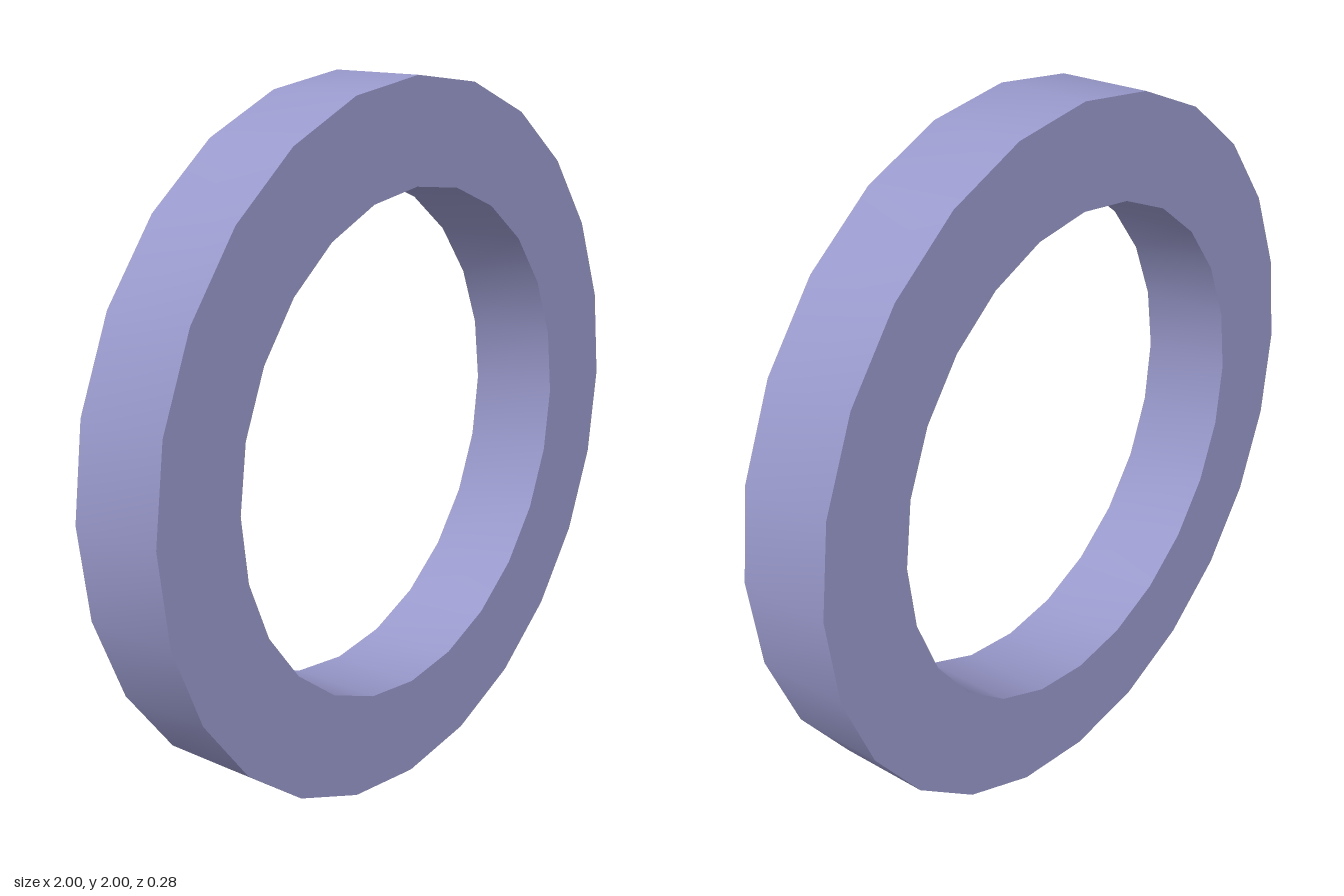
import * as THREE from 'three';
import { toCreasedNormals } from 'three/addons/utils/BufferGeometryUtils.js';

const SIDES = 24;
const OUTER = 1;
const INNER = 0.713;
const HALF_DEPTH = 0.134;
const TILT = 0.004;

export function createModel() {
  const group = new THREE.Group();

  // Rectangular cross-section spun into a ring, with sharp rims and smooth walls
  const section = [
    [INNER, -HALF_DEPTH],
    [OUTER, -HALF_DEPTH],
    [OUTER, HALF_DEPTH],
    [INNER, HALF_DEPTH],
    [INNER, -HALF_DEPTH],
  ].map(([r, y]) => new THREE.Vector2(r, y));
  const geometry = toCreasedNormals(new THREE.LatheGeometry(section, SIDES), 0.6);
  geometry.rotateX(Math.PI / 2);

  const ring = new THREE.Mesh(geometry, new THREE.MeshStandardMaterial({ color: 0x9999cc }));
  ring.name = 'ring';

  // Standing upright, leaning very slightly forward
  ring.position.y = OUTER;
  ring.rotation.x = TILT;
  group.add(ring);

  return group;
}
